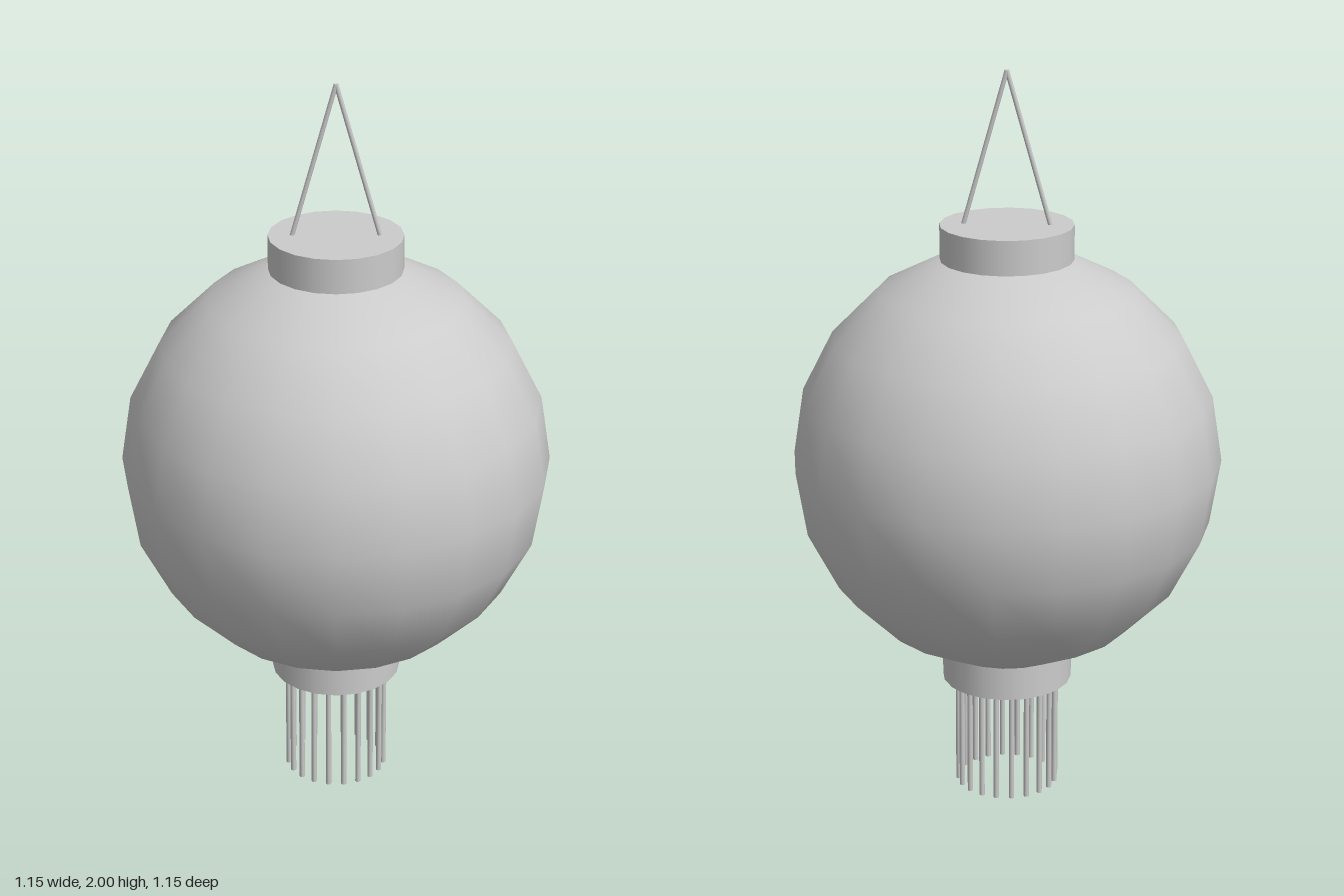
import * as THREE from 'three';

const material = new THREE.MeshStandardMaterial({ color: 0xcccccc });

export function createModel() {
  const lantern = new THREE.Group();
  lantern.name = 'lantern';

  function add(name, geometry, x, y, z, parent = lantern) {
    const mesh = new THREE.Mesh(geometry, material);
    mesh.name = name;
    mesh.position.set(x, y, z);
    parent.add(mesh);
    return mesh;
  }

  // Round paper body
  const centreY = 0.955;
  add('body', new THREE.SphereGeometry(0.575, 20, 10), 0, centreY, 0);

  // Matching caps above and below the body
  const capGeometry = new THREE.CylinderGeometry(0.177, 0.177, 0.095, 20);
  add('topCap', capGeometry, 0, centreY + 0.5925, 0);
  add('bottomCap', capGeometry, 0, centreY - 0.5925, 0);

  // Hanging cord: two slanted strands meeting at the top
  const handle = new THREE.Group();
  handle.name = 'handle';
  lantern.add(handle);
  const apex = new THREE.Vector3(0, 1.998, 0);
  for (const side of [-1, 1]) {
    const foot = new THREE.Vector3(side * 0.116, 1.585, 0);
    const direction = apex.clone().sub(foot);
    const middle = foot.clone().add(apex).multiplyScalar(0.5);
    const geometry = new THREE.CylinderGeometry(0.006, 0.006, direction.length(), 8);
    const cord = add(side > 0 ? 'leftCord' : 'rightCord', geometry, middle.x, middle.y, 0, handle);
    cord.quaternion.setFromUnitVectors(new THREE.Vector3(0, 1, 0), direction.normalize());
  }

  // Ring of fringe strands under the bottom cap
  const fringe = new THREE.Group();
  fringe.name = 'fringe';
  lantern.add(fringe);
  const strandGeometry = new THREE.CylinderGeometry(0.0075, 0.0075, 0.325, 8);
  const count = 20;
  for (let i = 0; i < count; i++) {
    const angle = ((i + 0.5) / count) * Math.PI * 2;
    add('strand', strandGeometry, 0.135 * Math.cos(angle), 0.1625, 0.135 * Math.sin(angle), fringe);
  }

  return lantern;
}
